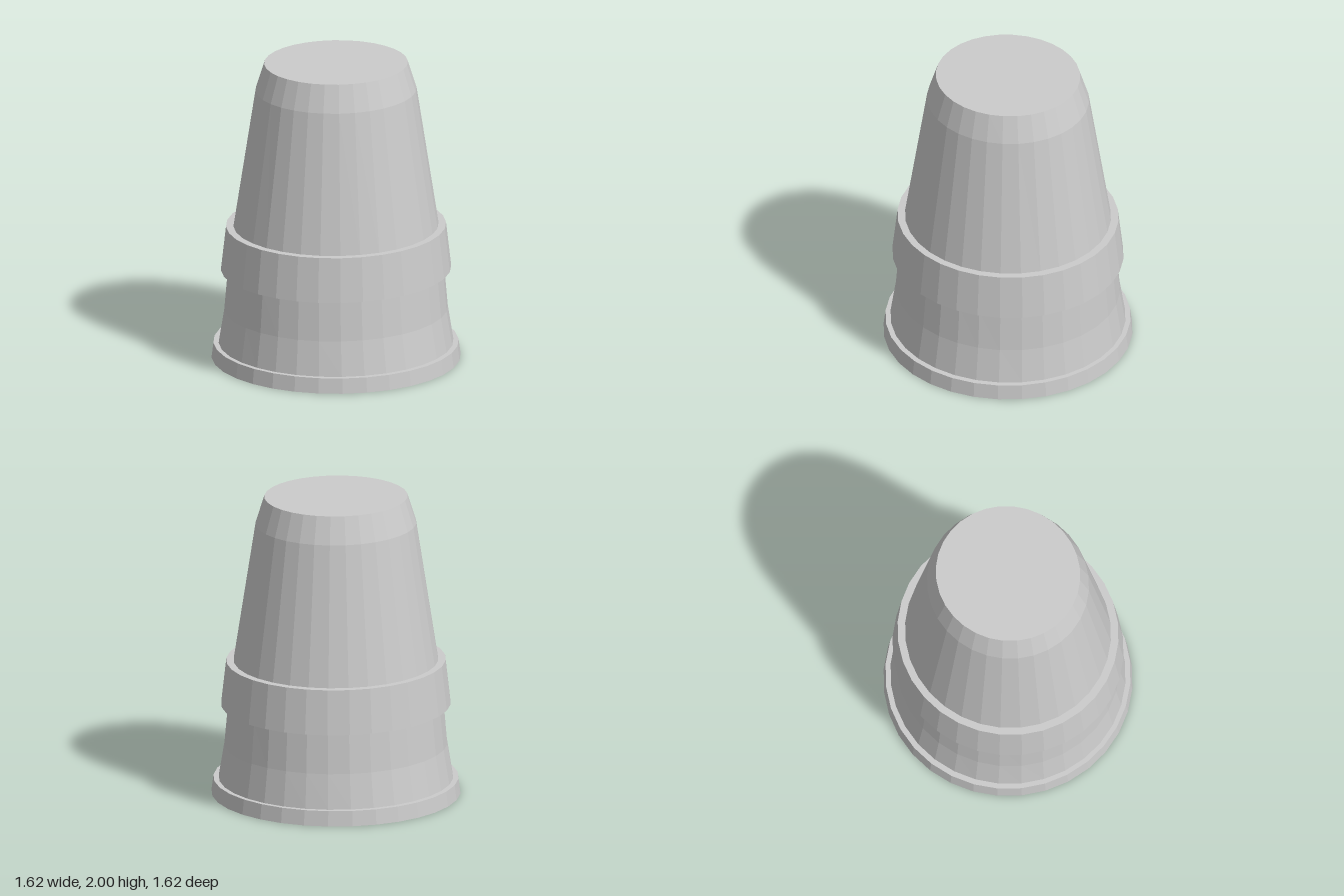
import * as THREE from 'three';

const SIDES = 32;
const material = new THREE.MeshStandardMaterial({ color: 0xcccccc, flatShading: true });

// Closed faceted solid from elliptical rings [y, x radius, z radius], bottom to top
function ringSolid(name, rings) {
  const bottom = rings[0], top = rings[rings.length - 1];
  const profile = [[bottom[0], 0, 0], ...rings, [top[0], 0, 0]];
  const geometry = new THREE.LatheGeometry(profile.map(([y]) => new THREE.Vector2(1, y)), SIDES);
  const position = geometry.attributes.position;
  for (let i = 0; i < position.count; i++) {
    const [, rx, rz] = profile[i % profile.length];
    position.setX(i, position.getX(i) * rx);
    position.setZ(i, position.getZ(i) * rz);
  }
  geometry.computeVertexNormals();
  const mesh = new THREE.Mesh(geometry, material);
  mesh.name = name;
  return mesh;
}

export function createModel() {
  const group = new THREE.Group();
  group.name = 'taperedCup';

  // Tapered body: flared foot, straight wall, chamfered top
  group.add(ringSolid('body', [
    [0.05, 0.765, 0.775],
    [0.1, 0.76, 0.768],
    [0.33, 0.72, 0.735],
    [0.6, 0.695, 0.714],
    [0.895, 0.66, 0.676],
    [1.82, 0.517, 0.533],
    [2, 0.461, 0.475],
  ]));

  // Collar around the middle
  group.add(ringSolid('collar', [[0.6, 0.74, 0.76], [0.895, 0.707, 0.726]]));

  // Rim at the foot
  group.add(ringSolid('baseRim', [[0, 0.81, 0.811], [0.1, 0.797, 0.798]]));

  return group;
}
